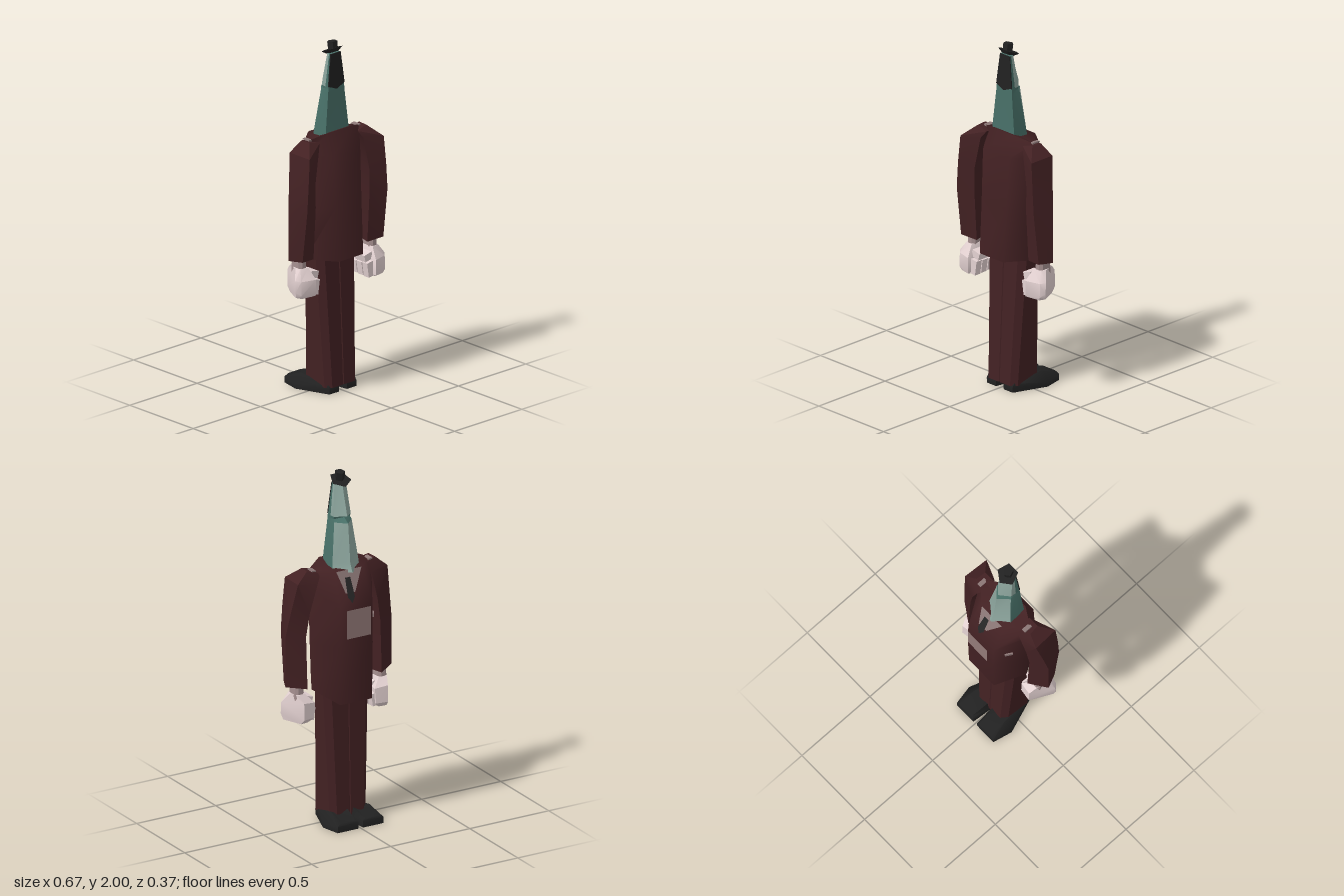
import * as THREE from 'three';
import { toCreasedNormals } from 'three/addons/utils/BufferGeometryUtils.js';

const mat = (name, color) => Object.assign(new THREE.MeshStandardMaterial({ color }), { name });

// Skin a stack of equal-sized point rings, closed at both ends; pick(ring, side) chooses a material index.
function loft(rings, crease = 0.5, pick = () => 0) {
  const pos = [], groups = [], n = rings[0].length;
  const add = (m, ...pts) => {
    groups.push([pos.length / 3, pts.length, m]);
    pts.forEach(p => pos.push(...p));
  };
  const mid = r => [0, 1, 2].map(k => r.reduce((s, p) => s + p[k], 0) / n);
  for (let r = 0; r < rings.length - 1; r++) {
    for (let i = 0; i < n; i++) {
      const j = (i + 1) % n;
      const a = rings[r][i], b = rings[r][j], c = rings[r + 1][j], d = rings[r + 1][i];
      add(pick(r, i), a, b, c, a, c, d);
    }
  }
  const first = rings[0], last = rings[rings.length - 1];
  for (let i = 0; i < n; i++) {
    const j = (i + 1) % n;
    add(0, first[j], first[i], mid(first));
    add(0, last[i], last[j], mid(last));
  }
  // Turn the triangles outward if the enclosed volume is negative
  let volume = 0;
  const v = k => new THREE.Vector3(...pos.slice(k, k + 3));
  for (let k = 0; k < pos.length; k += 9) volume += v(k).dot(v(k + 3).cross(v(k + 6)));
  if (volume < 0) {
    for (let k = 0; k < pos.length; k += 9) {
      for (let e = 0; e < 3; e++) [pos[k + e], pos[k + 3 + e]] = [pos[k + 3 + e], pos[k + e]];
    }
  }
  const g = new THREE.BufferGeometry();
  g.setAttribute('position', new THREE.Float32BufferAttribute(pos, 3));
  groups.forEach(q => g.addGroup(...q));
  return toCreasedNormals(g, crease);
}

// Ring symmetric in x: from the back, round the +x side, to the front and back again
const symmetric = (half, cx = 0) => {
  const right = half.map(([x, y, z]) => [cx + x, y, z]);
  const left = half.filter(p => p[0] > 0).reverse().map(([x, y, z]) => [cx - x, y, z]);
  return [...right, ...left];
};

// Eight-sided chamfered box ring; ci chamfers the inner corners
const octagon = (x0, x1, z0, z1, y, c, ci = c) => [
  [x0 + ci, y, z0], [x1 - c, y, z0], [x1, y, z0 + c], [x1, y, z1 - c],
  [x1 - c, y, z1], [x0 + ci, y, z1], [x0, y, z1 - ci], [x0, y, z0 + ci]];

export function createModel() {
  const model = new THREE.Group();
  const suit = mat('maroon suit', 0x432123);
  const black = mat('black', 0x212121);
  const teal = mat('teal skin', 0x487068);
  const pale = mat('pale face', 0x8ea79f);
  const skin = mat('pink glove', 0xe4d2d2);
  const wrist = mat('wrist grey', 0xa58f8f);
  const shirt = mat('shirt grey', 0x8c7776);
  const badge = mat('pocket grey', 0x937a78);
  const tieBlack = mat('tie black', 0x262626);
  for (const m of [shirt, badge, tieBlack]) m.side = THREE.DoubleSide;

  const add = (name, geometry, material, parent = model) => {
    const m = new THREE.Mesh(geometry, material);
    m.name = name;
    parent.add(m);
    return m;
  };

  // Jacket
  add('jacket', loft([
    symmetric([[0.09, 0.78, 0.184], [0.185, 0.775, 0.02], [0.1, 0.72, -0.14]]),
    symmetric([[0.095, 1.09, 0.165], [0.197, 1.05, 0.02], [0.1, 1.05, -0.148]]),
    symmetric([[0.1, 1.38, 0.15], [0.2, 1.38, 0.03], [0.1, 1.27, -0.145]]),
    symmetric([[0.09, 1.5, 0.1], [0.19, 1.465, 0.045], [0.09, 1.465, -0.06]]),
  ], 1.3), suit);

  // Shirt front and tie, laid on the sloping chest
  const onChest = (name, points, lift, material) => {
    const g = new THREE.ShapeGeometry(new THREE.Shape(points.map(p => new THREE.Vector2(...p))));
    const p = g.attributes.position;
    for (let i = 0; i < p.count; i++) {
      const y = p.getY(i);
      p.setXYZ(i, -p.getX(i), y, -0.06 - 0.44 * (1.465 - y) - lift);
    }
    g.computeVertexNormals();
    add(name, g, material);
  };
  onChest('shirtFront', [[-0.08, 1.465], [-0.05, 1.35], [0.01, 1.35], [0.08, 1.465]], 0.004, shirt);
  onChest('tie', [[-0.022, 1.3], [0.0, 1.33], [-0.004, 1.43], [-0.036, 1.43], [-0.044, 1.33]], 0.008, tieBlack);

  // Square panel standing just off the chest, and a small pocket flash
  const panel = add('chestPanel', new THREE.PlaneGeometry(0.15, 0.165), badge);
  panel.position.set(0, 1.19, -0.17);
  panel.rotation.y = Math.PI;
  const flash = add('pocketFlash', new THREE.BoxGeometry(0.045, 0.02, 0.008), shirt);
  flash.position.set(-0.147, 1.18, -0.074);
  flash.rotation.y = -2.09;

  // Tapered head with jaw, mouth notch and overhanging nose
  const cx = -0.01;
  const headRings = [
    [[0.087, 1.45, 0.086], [0.086, 1.45, -0.015], [0, 1.45, -0.085]],
    [[0.084, 1.5, 0.085], [0.081, 1.5, -0.01], [0, 1.5, -0.062]],
    [[0.06, 1.72, 0.078], [0.055, 1.72, 0.015], [0, 1.72, -0.04]],
    [[0.059, 1.735, 0.078], [0.05, 1.735, 0.025], [0, 1.75, 0.01]],
    [[0.058, 1.75, 0.077], [0.053, 1.75, 0.02], [0, 1.76, -0.03]],
    [[0.036, 1.935, 0.07], [0.036, 1.935, 0.045], [0, 1.935, 0.022]],
  ].map(([back, cheek, front]) => {
    const temple = back.map((v, k) => v + (cheek[k] - v) * 0.45);
    return symmetric([back, temple, cheek, front], cx);
  });
  add('head', loft(headRings, 0.4, (r, side) => {
    if (side === 6) return r === 4 ? 2 : 0;
    if (r === 4) return side >= 1 && side <= 4 ? 1 : 0;
    return r < 2 && (side === 2 || side === 3) ? 1 : 0;
  }), [teal, pale, black]);

  // Hair on the back of the head, dipping to a point
  const hair = new THREE.Shape([[-0.059, 1.755], [0, 1.73], [0.059, 1.755], [0.037, 1.935], [-0.037, 1.935]]
    .map(p => new THREE.Vector2(...p)));
  const hairMesh = add('hair', new THREE.ExtrudeGeometry(hair, { depth: 0.006, bevelEnabled: false }), black);
  hairMesh.geometry.translate(0, -1.755, 0);
  hairMesh.position.set(cx, 1.755, 0.075);
  hairMesh.rotation.x = -0.04;

  // Small five-sided hat with flared brim
  const hat = new THREE.Group();
  hat.name = 'hat';
  hat.position.set(cx, 1.942, 0.045);
  hat.rotation.x = -0.4;
  model.add(hat);
  const facets = (r1, r0, h) => toCreasedNormals(new THREE.CylinderGeometry(r1, r0, h, 5).rotateY(Math.PI), 0.5);
  add('hatBrim', facets(0.062, 0.034, 0.02), black, hat);
  const crown = add('hatCrown', facets(0.029, 0.028, 0.055), black, hat);
  crown.position.set(0, 0.024, 0.014);
  crown.rotation.x = 0.25;

  // Limbs, mirrored for each side
  for (const s of [1, -1]) {
    const side = s > 0 ? 'left' : 'right';
    const limb = (name, rings, material, crease) =>
      add(side + name, loft(rings.map(r => r.map(([x, y, z]) => [s * x, y, z])), crease), material);

    limb('Sleeve', [
      [[0.335, 0.81, 0.045], [0.3, 0.81, 0.12], [0.2, 0.8, 0.1], [0.235, 0.8, -0.02]],
      [[0.335, 1.1, 0.045], [0.298, 1.1, 0.155], [0.2, 1.1, 0.118], [0.235, 1.1, -0.005]],
      [[0.311, 1.25, 0.025], [0.288, 1.25, 0.155], [0.2, 1.23, 0.115], [0.215, 1.23, -0.01]],
      [[0.283, 1.41, 0.0], [0.275, 1.405, 0.15], [0.165, 1.41, 0.105], [0.17, 1.4, -0.02]],
      [[0.215, 1.468, 0.02], [0.21, 1.468, 0.08], [0.14, 1.45, 0.085], [0.14, 1.45, 0.0]],
    ], suit);

    // Grey seam patch on top of the shoulder
    const seam = add(side + 'ShoulderSeam', new THREE.BoxGeometry(0.025, 0.008, 0.05), shirt);
    seam.position.set(s * 0.178, 1.466, 0.03);
    seam.rotation.z = s * 0.15;

    limb('Wrist', [
      octagon(0.232, 0.29, 0.005, 0.095, 0.72, 0.015),
      octagon(0.235, 0.288, 0.01, 0.09, 0.83, 0.015),
    ], wrist);

    // Angular fist, turned inward, with curled fingers on the inner side
    limb('Fist', [
      [[0.225, 0.6, -0.005], [0.27, 0.6, -0.01], [0.322, 0.605, 0.09], [0.3, 0.6, 0.115], [0.235, 0.6, 0.125], [0.215, 0.6, 0.06]],
      [[0.195, 0.63, -0.028], [0.265, 0.63, -0.038], [0.332, 0.64, 0.1], [0.31, 0.62, 0.122], [0.222, 0.61, 0.145], [0.215, 0.62, 0.06]],
      [[0.19, 0.715, -0.022], [0.265, 0.725, -0.035], [0.332, 0.705, 0.095], [0.31, 0.7, 0.12], [0.222, 0.7, 0.145], [0.21, 0.71, 0.06]],
      [[0.235, 0.765, 0.01], [0.28, 0.765, 0.0], [0.297, 0.762, 0.06], [0.288, 0.762, 0.09], [0.24, 0.762, 0.1], [0.23, 0.765, 0.05]],
    ], skin);
    for (let i = 0; i < 3; i++) {
      const finger = add(side + 'Finger', new THREE.BoxGeometry(0.045, 0.085 - i * 0.006, 0.04), skin);
      finger.position.set(s * 0.204, 0.647, 0.105 - i * 0.046);
      finger.rotation.z = s * 0.15;
    }
    const thumb = add(side + 'Thumb', new THREE.BoxGeometry(0.055, 0.04, 0.08), skin);
    thumb.position.set(s * 0.2, 0.715, 0.07);
    thumb.rotation.z = s * 0.25;

    limb('TrouserLeg', [
      octagon(0, 0.113, -0.08, 0.125, 0.035, 0.03, 0.004),
      octagon(0, 0.143, -0.06, 0.09, 0.8, 0.035, 0.004),
    ], suit);

    limb('Shoe', [
      [[0.015, 0, -0.187], [0.145, 0, -0.187], [0.17, 0, -0.075], [0.1, 0, 0.12], [0.03, 0, 0.12], [0.004, 0, -0.07]],
      [[0.015, 0.04, -0.187], [0.145, 0.035, -0.187], [0.17, 0.025, -0.075],
        [0.1, 0.03, 0.122], [0.03, 0.03, 0.122], [0.004, 0.03, -0.07]],
      [[0.03, 0.05, -0.18], [0.12, 0.05, -0.18], [0.12, 0.08, -0.08],
        [0.1, 0.05, 0.11], [0.03, 0.05, 0.11], [0.018, 0.08, -0.08]],
    ], black, 1.1);
  }
  return model;
}
